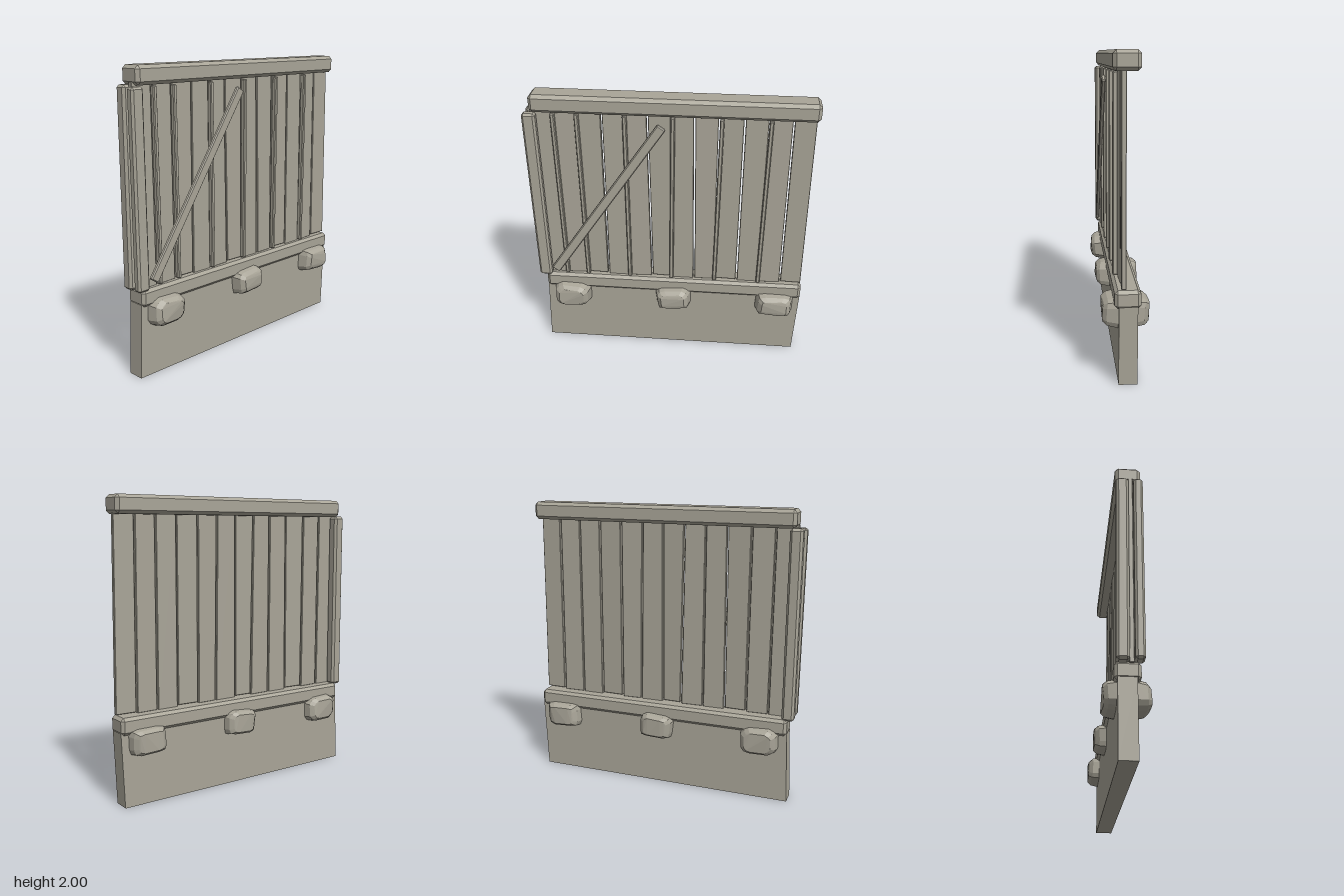
import * as THREE from 'three';
import { ConvexGeometry } from 'three/addons/geometries/ConvexGeometry.js';

const stone = new THREE.MeshStandardMaterial({ color: 0xa9a598 });
stone.name = 'weathered grey';

// Box with every edge cut by c; shear and taper move x along the height
function cutBox(w, h, d, c = 0, lean = 0, taper = 0) {
  const pts = [];
  for (const sx of [-1, 1]) for (const sy of [-1, 1]) for (const sz of [-1, 1]) {
    const corners = c ? [[0, 1, 1], [1, 0, 1], [1, 1, 0]] : [[0, 0, 0]];
    for (const k of corners) {
      const x = sx * (w / 2 - c * k[0]), y = sy * (h / 2 - c * k[1]), z = sz * (d / 2 - c * k[2]);
      pts.push(new THREE.Vector3(x * (1 + taper * y / h) + lean * y / h, y, z));
    }
  }
  return new ConvexGeometry(pts);
}

function add(parent, name, geometry, x, y, z) {
  const mesh = new THREE.Mesh(geometry, stone);
  mesh.name = name;
  mesh.position.set(x, y, z);
  parent.add(mesh);
  return mesh;
}

// Faceted boulder: rounded outlines stacked through the wall
function boulder(w, h, seed) {
  const pts = [];
  const rings = [[-0.14, 0.68], [-0.115, 0.88], [-0.05, 0.99], [0.05, 1], [0.115, 0.87], [0.14, 0.66]];
  for (const [z, s] of rings) {
    for (let i = 0; i < 12; i++) {
      const a = (i + 0.5) / 12 * Math.PI * 2;
      const cx = Math.cos(a), cy = Math.sin(a);
      const wobble = 1 + 0.035 * Math.sin(i * 2.3 + seed * 1.7);
      pts.push(new THREE.Vector3(
        Math.sign(cx) * Math.abs(cx) ** 0.45 * w / 2 * s * wobble,
        Math.sign(cy) * Math.abs(cy) ** 0.5 * h / 2 * s * wobble,
        z + 0.006 * Math.sin(i + seed)));
    }
  }
  return new ConvexGeometry(pts);
}

export function createModel() {
  const group = new THREE.Group();
  group.name = 'wallPanel';

  // Solid base and the two horizontal beams
  add(group, 'baseWall', cutBox(1.865, 0.5, 0.115, 0, 0.02), 0.0125, 0.25, -0.0075);
  add(group, 'lowerBeam', cutBox(1.865, 0.115, 0.16, 0.02), 0.0225, 0.5425, -0.005);
  add(group, 'topBeam', cutBox(1.865, 0.12, 0.165, 0.022), 0.0225, 1.94, 0.003);

  // Upright planks, each between two slightly leaning joints [top, bottom]
  const planks = new THREE.Group();
  planks.name = 'planks';
  group.add(planks);
  const joints = [[-0.92, -0.92], [-0.768, -0.762], [-0.61, -0.605], [-0.445, -0.45], [-0.295, -0.29],
    [-0.147, -0.127], [0.01, 0.01], [0.16, 0.178], [0.32, 0.325], [0.483, 0.487],
    [0.64, 0.645], [0.792, 0.802], [0.942, 0.955]];
  for (let i = 0; i < joints.length - 1; i++) {
    const [t0, b0] = joints[i], [t1, b1] = joints[i + 1];
    const top = t1 - t0 - 0.01, bottom = b1 - b0 - 0.01, w = (top + bottom) / 2;
    const lean = (t0 + t1 - b0 - b1) / 2;
    const low = 0.59 + (i % 3) * 0.009;
    const mesh = add(planks, 'plank', cutBox(w, 1.9 - low, 0.03, 0.003, lean, (top - bottom) / w),
      (t0 + t1 + b0 + b1) / 4, (1.9 + low) / 2, 0.018);
    mesh.rotation.y = 0.04 * Math.sin(i * 2.1);
  }

  // Thin battens over the front joints
  const battens = [[-0.757, 0.012], [-0.601, 0.01], [-0.29, 0.003], [0.018, -0.008], [0.332, -0.012], [0.646, -0.01]];
  for (const [x, lean] of battens) {
    add(group, 'batten', cutBox(0.028, 1.265, 0.035, 0.006, -lean), x, 1.24, 0.05);
  }

  // Corner posts at the right end
  add(group, 'frontPost', cutBox(0.09, 1.275, 0.06, 0.014, -0.006), -0.912, 1.237, 0.065);
  add(group, 'backPost', cutBox(0.085, 1.29, 0.08, 0.016), -0.911, 1.238, -0.036);

  // Diagonal brace
  const brace = add(group, 'brace', cutBox(0.066, 1.4, 0.03, 0.007), -0.44, 1.233, 0.081);
  brace.rotation.set(-0.006, 0, -0.594);

  // Boulders set through the base
  const boulders = [[-0.725, 0.432, 0.27, 0.2], [0.03, 0.441, 0.26, 0.185], [0.772, 0.432, 0.28, 0.19]];
  boulders.forEach(([x, y, w, h], i) => {
    add(group, 'boulder', boulder(w, h, i + 1), x, y, 0).rotation.z = [-0.03, 0.03, -0.02][i];
  });

  return group;
}
